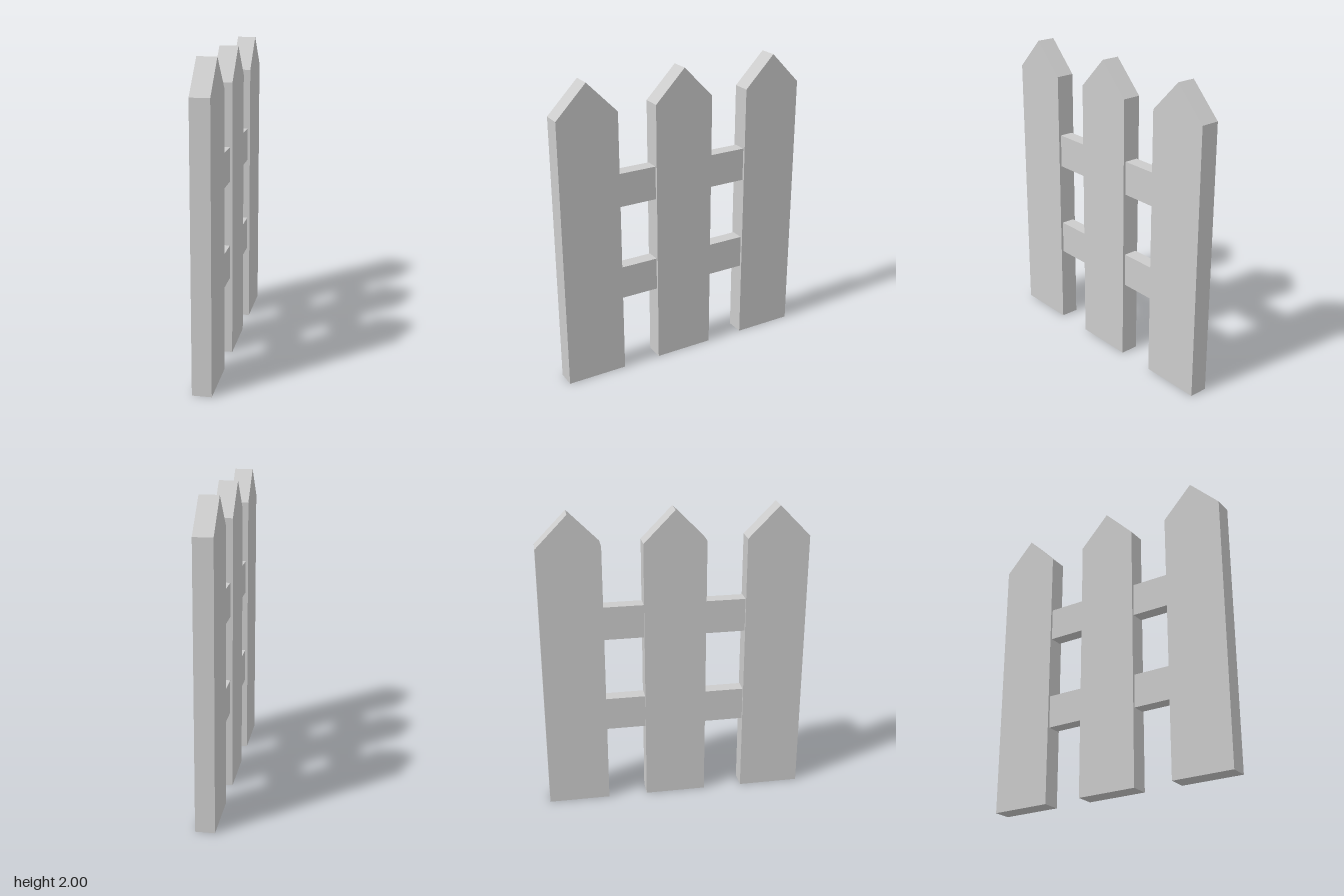
import * as THREE from 'three';

const PICKET = { width: 0.404, depth: 0.122, shoulder: 1.794, height: 2, spacing: 0.664 };
const RAIL = { height: 0.222, depth: 0.09, length: 1.1, levels: [0.63, 1.276] };

export function createModel() {
  const group = new THREE.Group();
  group.name = 'picketFence';
  const material = new THREE.MeshStandardMaterial({ color: 0xcccccc, flatShading: true });

  // Pointed board outline, extruded through its thickness and turned to face sideways
  const w = PICKET.width / 2;
  const outline = new THREE.Shape([
    new THREE.Vector2(-w, 0),
    new THREE.Vector2(w, 0),
    new THREE.Vector2(w, PICKET.shoulder),
    new THREE.Vector2(0, PICKET.height),
    new THREE.Vector2(-w, PICKET.shoulder),
  ]);
  const picketGeometry = new THREE.ExtrudeGeometry(outline, { depth: PICKET.depth, bevelEnabled: false });
  picketGeometry.translate(0, 0, -PICKET.depth / 2).rotateY(Math.PI / 2);

  // Three pickets in a row along z
  ['backPicket', 'middlePicket', 'frontPicket'].forEach((name, i) => {
    const picket = new THREE.Mesh(picketGeometry, material);
    picket.name = name;
    picket.position.z = (i - 1) * PICKET.spacing;
    group.add(picket);
  });

  // Two thinner rails that pass through the pickets and end inside the outer ones
  const railGeometry = new THREE.BoxGeometry(RAIL.depth, RAIL.height, RAIL.length);
  ['lowerRail', 'upperRail'].forEach((name, i) => {
    const rail = new THREE.Mesh(railGeometry, material);
    rail.name = name;
    rail.position.y = RAIL.levels[i];
    group.add(rail);
  });

  return group;
}
